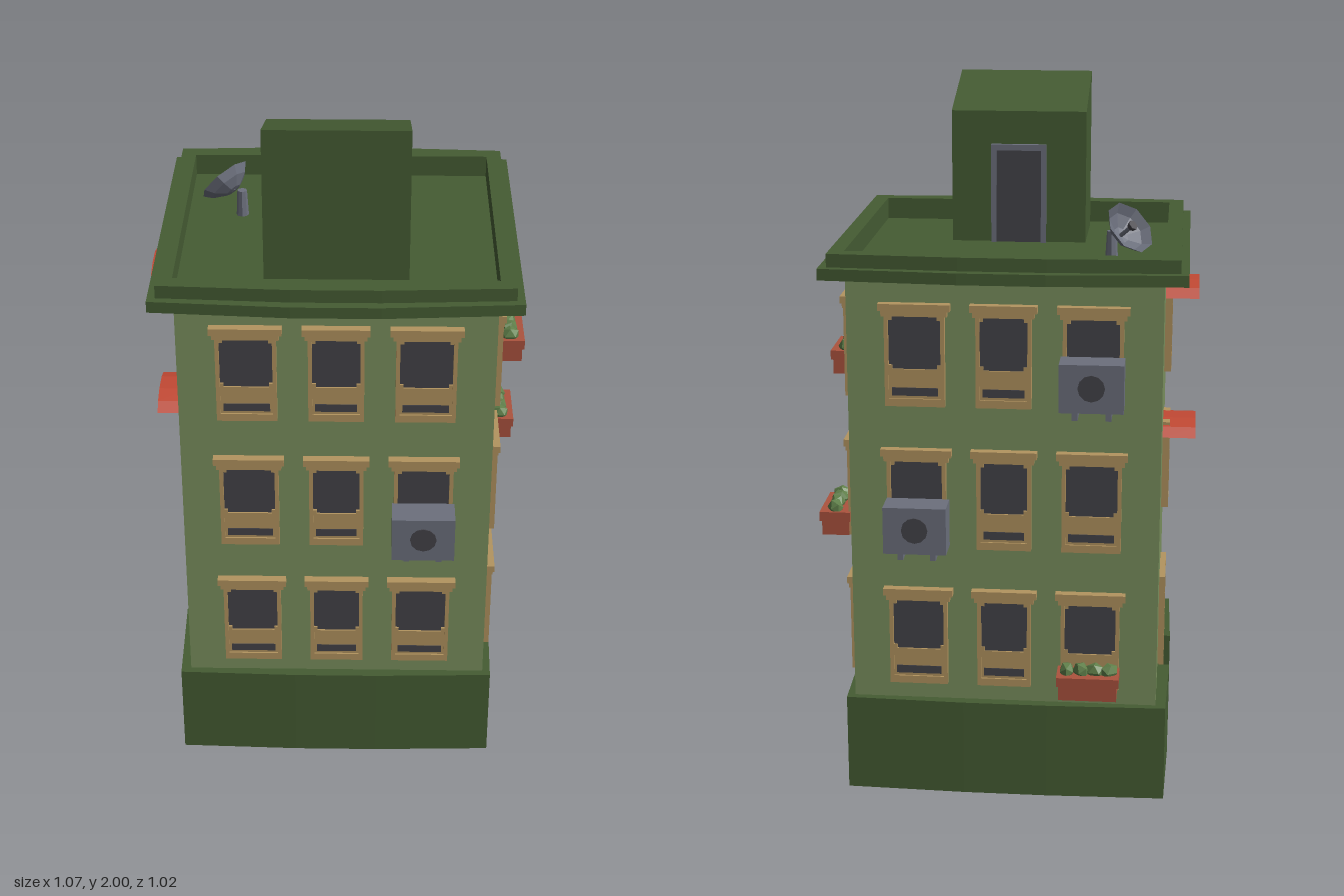
import * as THREE from 'three';

const mat = (name, color, extra = {}) =>
  Object.assign(new THREE.MeshStandardMaterial({ color, ...extra }), { name });

export function createModel() {
  const M = {
    trim: mat('dark green', 0x455c33),
    wall: mat('light green', 0x7a905e),
    tan: mat('tan wood', 0xb3945f),
    glass: mat('dark glass', 0x444349),
    awning: mat('red awning', 0xc24934),
    pot: mat('terracotta', 0xac533e),
    metal: mat('grey metal', 0x6c707d, { side: THREE.DoubleSide, flatShading: true }),
    plant: mat('leaf green', 0x60804a, { flatShading: true }),
  };
  const model = new THREE.Group();
  model.name = 'apartmentBuilding';
  const CX = -0.005;

  const add = (parent, name, geo, material, x = 0, y = 0, z = 0) => {
    const mesh = new THREE.Mesh(geo, material);
    mesh.name = name;
    mesh.position.set(x, y, z);
    parent.add(mesh);
    return mesh;
  };
  // box given by its minimum and maximum corners
  const box = (parent, name, material, x0, x1, y0, y1, z0, z1) =>
    add(parent, name, new THREE.BoxGeometry(x1 - x0, y1 - y0, z1 - z0), material,
      (x0 + x1) / 2, (y0 + y1) / 2, (z0 + z1) / 2);
  const shapeOf = (pts) => new THREE.Shape(pts.map(([a, b]) => new THREE.Vector2(a, b)));
  // plan outline raised along y
  const raise = (shape, height) =>
    new THREE.ExtrudeGeometry(shape, { depth: height, bevelEnabled: false }).rotateX(-Math.PI / 2);
  // side outline (z, y) extruded towards -x
  const sideways = (pts, depth) =>
    new THREE.ExtrudeGeometry(shapeOf(pts), { depth, bevelEnabled: false }).rotateY(-Math.PI / 2);

  // Body and roof floor
  box(model, 'walls', M.wall, -0.44, 0.43, 0.27, 1.528, -0.4, 0.4);
  box(model, 'roofFloor', M.trim, -0.44, 0.43, 1.526, 1.534, -0.4, 0.4);

  // Slightly bowed base with a notch for the entrance
  const base = shapeOf([
    [-0.46, -0.42], [-0.12, -0.43], [0.12, -0.43], [0.46, -0.42],
    [0.467, -0.12], [0.467, 0.12], [0.46, 0.42],
    [0.12, 0.43], [-0.12, 0.43], [-0.46, 0.42],
    [-0.467, 0.11], [-0.435, 0.11], [-0.435, -0.11], [-0.467, -0.11],
  ]);
  add(model, 'base', raise(base, 0.285), M.trim, CX - 0.003);

  // Two cornice rings, bowed at front and back
  const ring = (name, hx, corner, mid, y, h) => {
    const s = shapeOf([
      [-hx, -corner], [-0.12, -mid], [0.12, -mid], [hx, -corner],
      [hx, corner], [0.12, mid], [-0.12, mid], [-hx, corner],
    ]);
    s.holes.push(shapeOf([[-0.435, -0.4], [-0.435, 0.4], [0.435, 0.4], [0.435, -0.4]]));
    add(model, name, raise(s, h), M.trim, CX, y);
  };
  ring('cornice', 0.5, 0.465, 0.49, 1.528, 0.032);
  ring('parapet', 0.478, 0.444, 0.462, 1.56, 0.037);

  // Stair house with sloping roof and a door
  add(model, 'stairHouse',
    sideways([[0.076, 1.53], [0.35, 1.53], [0.35, 2], [0.076, 1.915]], 0.39), M.trim, 0.19);
  const roofDoor = new THREE.Group();
  roofDoor.name = 'roofDoor';
  model.add(roofDoor);
  box(roofDoor, 'doorPanel', M.glass, -0.07, 0.06, 1.534, 1.805, 0.068, 0.077);
  for (const x of [-0.085, 0.06]) box(roofDoor, 'doorJamb', M.metal, x, x + 0.015, 1.534, 1.82, 0.06, 0.077);
  box(roofDoor, 'doorHead', M.metal, -0.07, 0.06, 1.803, 1.82, 0.06, 0.077);

  // Satellite dish
  const dish = new THREE.Group();
  dish.name = 'satelliteDish';
  dish.position.set(-0.31, 1.6, -0.14);
  dish.quaternion.setFromUnitVectors(new THREE.Vector3(0, 1, 0),
    new THREE.Vector3(-0.6, 0.6, -0.47).normalize());
  model.add(dish);
  const bowl = [[0, 0], [0.025, 0.003], [0.06, 0.022], [0.08, 0.045]].map(([r, y]) => new THREE.Vector2(r, y));
  add(dish, 'bowl', new THREE.LatheGeometry(bowl, 8), M.metal);
  add(dish, 'receiverArm', new THREE.CylinderGeometry(0.006, 0.006, 0.05, 6), M.metal, 0, 0.025, 0);
  add(dish, 'receiver', new THREE.CylinderGeometry(0.015, 0.012, 0.014, 6), M.glass, 0, 0.052, 0);
  add(model, 'dishPole', new THREE.CylinderGeometry(0.014, 0.018, 0.08, 8), M.metal, -0.285, 1.57, -0.125);

  // One group per wall: local z points outwards from the wall
  const wallGroup = (name, x, z, angle) => {
    const g = new THREE.Group();
    g.name = name;
    g.position.set(x, 0, z);
    g.rotation.y = angle;
    model.add(g);
    return g;
  };
  const front = wallGroup('frontWall', CX, 0.4, 0);
  const back = wallGroup('backWall', CX, -0.4, Math.PI);
  const east = wallGroup('leftWall', 0.43, 0, Math.PI / 2);
  const west = wallGroup('entranceWall', -0.44, 0, -Math.PI / 2);

  const part = (parent, name, u, y) => {
    const g = new THREE.Group();
    g.name = name;
    g.position.set(u, y, 0);
    parent.add(g);
    return g;
  };

  // Sash window, y measured from its lower edge
  const sashWindow = (parent, u, y, w, cap = true) => {
    const g = part(parent, 'window', u, y);
    const h = w / 2, gl = h - 0.011;
    box(g, 'pane', M.glass, -gl, gl, 0.105, 0.26, 0.003, 0.01);
    for (const s of [-1, 1]) {
      box(g, 'jamb', M.tan, s * (h - 0.0055) - 0.0055, s * (h - 0.0055) + 0.0055, 0, 0.262, 0, 0.02);
      for (const cy of [0.111, 0.249])
        box(g, 'cornerBlock', M.tan, s * (gl - 0.005) - 0.005, s * (gl - 0.005) + 0.005, cy - 0.006, cy + 0.006, 0.01, 0.016);
    }
    box(g, 'lowerSash', M.tan, -gl, gl, 0.022, 0.105, 0, 0.015);
    box(g, 'sashSlot', M.glass, -gl + 0.008, gl - 0.008, 0.03, 0.053, 0.013, 0.017);
    box(g, 'sill', M.tan, -gl, gl, 0, 0.022, 0, 0.02);
    if (cap) {
      box(g, 'head', M.tan, -h - 0.008, h + 0.008, 0.255, 0.272, 0, 0.022);
      box(g, 'cap', M.tan, -h - 0.016, h + 0.016, 0.27, 0.29, 0, 0.026);
    } else box(g, 'head', M.tan, -h, h, 0.25, 0.262, 0, 0.02);
  };
  const rows = [0.337, 0.752, 1.167];
  for (const wall of [front, back, east])
    for (const y of rows)
      for (const u of [-0.245, 0, 0.245]) sashWindow(wall, u, y, u ? 0.166 : 0.153);

  // Air conditioner on two brackets
  const airConditioner = (parent, u, y) => {
    const g = part(parent, 'airConditioner', u, y);
    box(g, 'housing', M.metal, -0.088, 0.088, 0, 0.135, 0.022, 0.108);
    const fan = add(g, 'fan', new THREE.CylinderGeometry(0.037, 0.037, 0.006, 12), M.glass, 0, 0.07, 0.108);
    fan.rotation.x = Math.PI / 2;
    for (const x of [-0.046, 0.046]) {
      box(g, 'bracketBar', M.metal, x - 0.008, x + 0.008, -0.032, -0.022, 0, 0.07);
      box(g, 'bracketPost', M.metal, x - 0.008, x + 0.008, -0.024, 0, 0.054, 0.07);
    }
  };
  airConditioner(front, 0.245, 0.765);
  airConditioner(back, 0.245, 1.185);
  airConditioner(back, -0.24, 0.765);

  // Flower box with four plants
  const flowerBox = (parent, u, y) => {
    const g = part(parent, 'flowerBox', u, y);
    box(g, 'trough', M.pot, -0.082, 0.082, 0, 0.045, 0.018, 0.096);
    box(g, 'rim', M.pot, -0.088, 0.088, 0.043, 0.07, 0.014, 0.102);
    for (let i = 0; i < 4; i++) {
      const p = add(g, 'plant', new THREE.IcosahedronGeometry(0.026, 0), M.plant, -0.06 + i * 0.04, 0.077, 0.06);
      p.scale.set(0.85, 1, 1.1);
      p.rotation.y = i * 0.7;
    }
  };
  flowerBox(east, 0.008, 1.165);
  flowerBox(east, 0.252, 0.752);
  flowerBox(back, 0.2425, 0.335);

  // Entrance wall: windows under arched awnings, and the door
  const arch = [[-0.11, 0], [-0.085, 0.026], [-0.035, 0.04], [0.035, 0.04], [0.085, 0.026], [0.11, 0]];
  const under = arch.map(([z, y]) => [z * 0.9, Math.max(0, y - 0.012)]).reverse();
  for (const y of [0.775, 1.19]) {
    sashWindow(west, 0, y, 0.155, false);
    add(model, 'awning', sideways([...arch, ...under].reverse(), 0.095), M.awning, -0.44, y + 0.225);
  }
  const door = part(west, 'entranceDoor', 0, 0);
  box(door, 'doorPanel', M.glass, -0.088, 0.088, 0, 0.545, 0, 0.006);
  for (const s of [-1, 1]) box(door, 'doorJamb', M.tan, s * 0.096 - 0.009, s * 0.096 + 0.009, 0, 0.565, 0, 0.017);
  box(door, 'doorHead', M.tan, -0.088, 0.088, 0.543, 0.565, 0, 0.017);

  return model;
}
